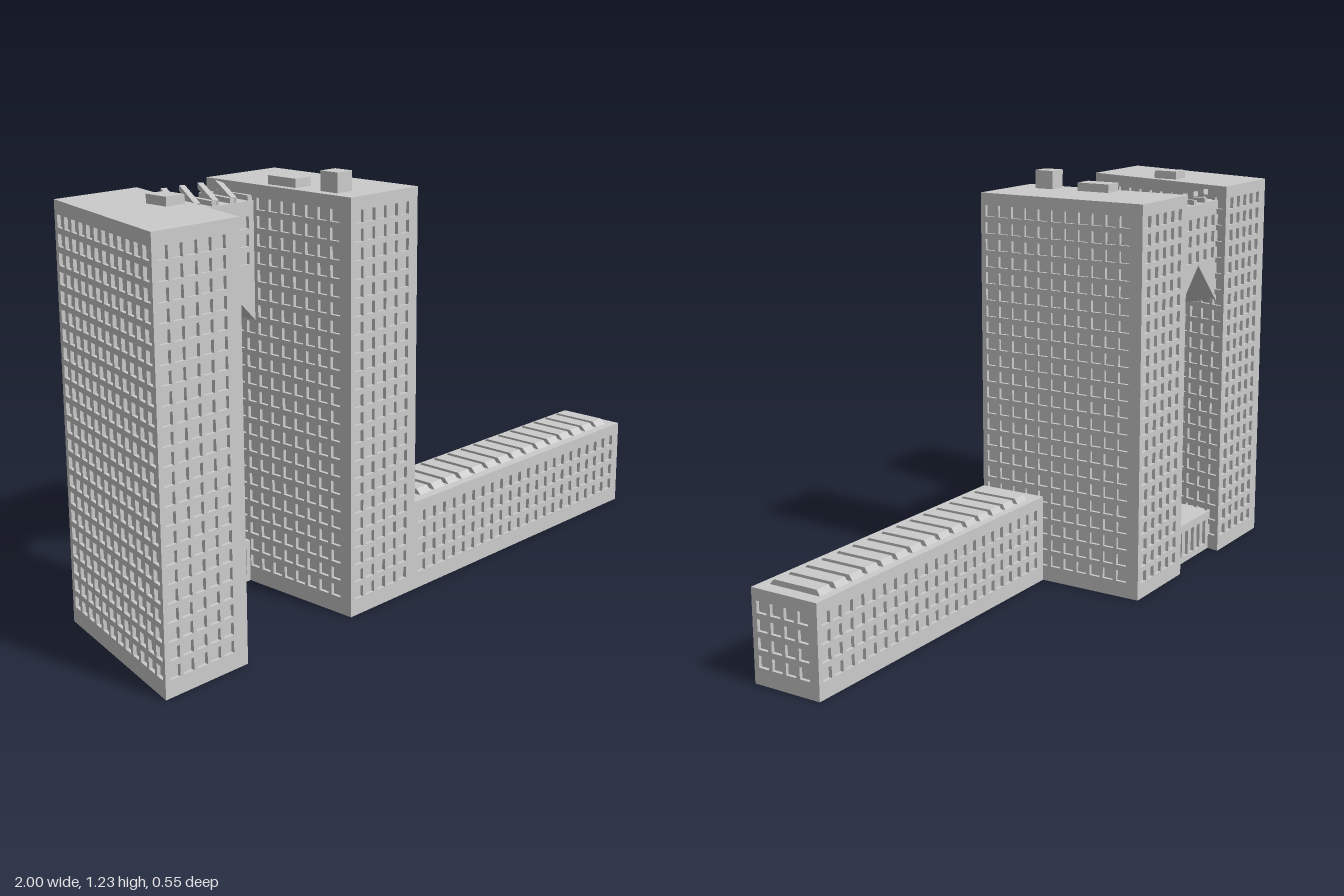
import * as THREE from 'three';
import { mergeGeometries } from 'three/addons/utils/BufferGeometryUtils.js';

const material = new THREE.MeshStandardMaterial({ color: 0xcccccc, flatShading: true });
const WIN = 0.034, PITCH_X = 0.046, PITCH_Y = 0.0503, MARGIN = 0.016, SILL = 0.048, DEPTH = 0.01;
const HEIGHT = 1.175, ROWS = 22;

function add(parent, name, geometry) {
  const mesh = new THREE.Mesh(geometry, material);
  mesh.name = name;
  parent.add(mesh);
  return mesh;
}

function shapeOf(points) {
  return new THREE.Shape(points.map(([x, y]) => new THREE.Vector2(x, y)));
}

function rectHole(x, y, w, h) {
  return new THREE.Path([[x, y], [x, y + h], [x + w, y + h], [x + w, y]].map(([a, b]) => new THREE.Vector2(a, b)));
}

// Turns a geometry inside out
function flip(geometry) {
  const index = Array.from(geometry.index.array);
  for (let i = 0; i < index.length; i += 3) [index[i], index[i + 1]] = [index[i + 1], index[i]];
  geometry.setIndex(index);
  const n = geometry.attributes.normal;
  for (let i = 0; i < n.count; i++) n.setXYZ(i, -n.getX(i), -n.getY(i), -n.getZ(i));
  return geometry;
}

// Open-fronted window recess
function pocket(x, y) {
  const g = new THREE.BoxGeometry(WIN, WIN, DEPTH);
  const index = Array.from(g.index.array);
  index.splice(24, 6);
  g.setIndex(index);
  return flip(g).translate(x + WIN / 2, y + WIN / 2, -DEPTH / 2);
}

// Wall from a to b (plan points, outside to the right) with a grid of recessed windows
function wall(a, b, height, rows) {
  const A = new THREE.Vector3(a[0], 0, a[1]);
  const dir = new THREE.Vector3(b[0], 0, b[1]).sub(A);
  const length = dir.length();
  const columns = Math.floor((length - MARGIN - WIN - 0.004) / PITCH_X) + 1;
  const shape = shapeOf([[0, 0], [length, 0], [length, height], [0, height]]);
  const parts = [];
  for (let r = 0; r < rows; r++) {
    for (let c = 0; c < columns; c++) {
      const x = MARGIN + c * PITCH_X, y = SILL + r * PITCH_Y;
      shape.holes.push(rectHole(x, y, WIN, WIN));
      parts.push(pocket(x, y));
    }
  }
  parts.push(new THREE.ShapeGeometry(shape));
  const up = new THREE.Vector3(0, 1, 0);
  dir.normalize();
  const frame = new THREE.Matrix4().makeBasis(dir, up, dir.clone().cross(up)).setPosition(A);
  return mergeGeometries(parts).applyMatrix4(frame);
}

// Building on a plan outline; windowRows gives the rows of windows on each side
function building(parent, name, plan, height, windowRows) {
  const group = new THREE.Group();
  group.name = name;
  plan.forEach((p, i) => {
    add(group, 'windowWall', wall(p, plan[(i + 1) % plan.length], height, windowRows[i]));
  });
  const slab = () => new THREE.ShapeGeometry(shapeOf(plan.map(([x, z]) => [x, -z]))).rotateX(-Math.PI / 2);
  add(group, 'roof', slab().translate(0, height, 0));
  add(group, 'base', flip(slab()));
  parent.add(group);
}

// Upright slab between z0 and z1
function slab(points, holes, z0, z1) {
  const shape = shapeOf(points);
  shape.holes.push(...holes);
  return new THREE.ExtrudeGeometry(shape, { depth: z1 - z0, bevelEnabled: false }).translate(0, 0, z0);
}

// Solid core with a pierced skin on the front and back
function skinned(parent, name, points, holes, z0, z1) {
  const group = new THREE.Group();
  group.name = name;
  add(group, 'core', slab(points, [], z0 + DEPTH, z1 - DEPTH));
  add(group, 'frontSkin', slab(points, holes, z1 - DEPTH, z1));
  add(group, 'backSkin', slab(points, holes, z0, z0 + DEPTH));
  parent.add(group);
}

function box(parent, name, x0, x1, y0, y1, z0, z1) {
  const g = new THREE.BoxGeometry(x1 - x0, y1 - y0, z1 - z0);
  add(parent, name, g.translate((x0 + x1) / 2, (y0 + y1) / 2, (z0 + z1) / 2));
}

// Straight square bar between two points
function bar(parent, name, from, to, size) {
  const a = new THREE.Vector3(...from), b = new THREE.Vector3(...to);
  const mesh = add(parent, name, new THREE.BoxGeometry(size, size, a.distanceTo(b)));
  mesh.position.copy(a).add(b).multiplyScalar(0.5);
  mesh.lookAt(b);
}

export function createModel() {
  const model = new THREE.Group();
  model.name = 'officeComplex';

  // Two towers, one with a skewed plan, and the low wing
  building(model, 'skewedTower', [[-1, 0.275], [-0.718, 0.275], [-0.575, -0.275], [-0.853, -0.275]],
    HEIGHT, [ROWS, ROWS, ROWS, ROWS]);
  building(model, 'straightTower', [[-0.32, 0.275], [-0.05, 0.275], [-0.05, -0.275], [-0.32, -0.275]],
    HEIGHT, [ROWS, ROWS, ROWS, ROWS]);
  building(model, 'lowWing', [[-0.05, 0.275], [1, 0.275], [1, 0.057], [-0.05, 0.057]], 0.267, [4, 4, 4, 0]);

  // High bridge with a gabled underside
  const bridgeHoles = [];
  for (let r = 18; r < 21; r++) {
    for (let c = 0; c < 5; c++) bridgeHoles.push(rectHole(-0.573 + c * 0.05, SILL + r * PITCH_Y, WIN, WIN));
  }
  skinned(model, 'bridge',
    [[-0.63, 0.79], [-0.62, 0.79], [-0.47, 0.943], [-0.318, 0.79], [-0.318, 1.13], [-0.63, 1.13]],
    bridgeHoles, -0.238, -0.087);

  // Entrance link at ground level with tall windows
  const linkHoles = [];
  for (let c = 0; c < 6; c++) linkHoles.push(rectHole(-0.565 + c * 0.04, 0.02, 0.03, 0.08));
  skinned(model, 'entranceLink', [[-0.61, 0], [-0.318, 0], [-0.318, 0.125], [-0.61, 0.125]], linkHoles, -0.235, -0.125);

  // Pergola of sloping bars over the bridge
  for (let i = 0; i < 4; i++) {
    const x = -0.59 + i * 0.067;
    bar(model, 'pergolaBar', [x, 1.137, -0.092], [x + 0.075, 1.163, -0.235], 0.016);
    bar(model, 'pergolaCrossBar', [x + 0.06, 1.137, -0.092], [x + 0.075, 1.137, -0.235], 0.014);
  }

  // Rooftop plant rooms
  box(model, 'plantRoom', -0.738, -0.675, HEIGHT, 1.2, -0.047, 0.03);
  box(model, 'plantRoom', -0.297, -0.238, HEIGHT, 1.2, -0.053, 0.053);
  box(model, 'liftHousing', -0.29, -0.232, HEIGHT, 1.23, 0.138, 0.2);

  // Row of skylights on the low wing
  const profile = [[-0.248, 0], [-0.08, 0], [-0.09, 0.016], [-0.232, 0.016]];
  for (let i = 0; i < 15; i++) {
    const g = new THREE.ExtrudeGeometry(shapeOf(profile), { depth: 0.048, bevelEnabled: false });
    add(model, 'skylight', g.rotateY(Math.PI / 2).translate(0.008 + i * 0.0645, 0.267, 0));
  }
  return model;
}
